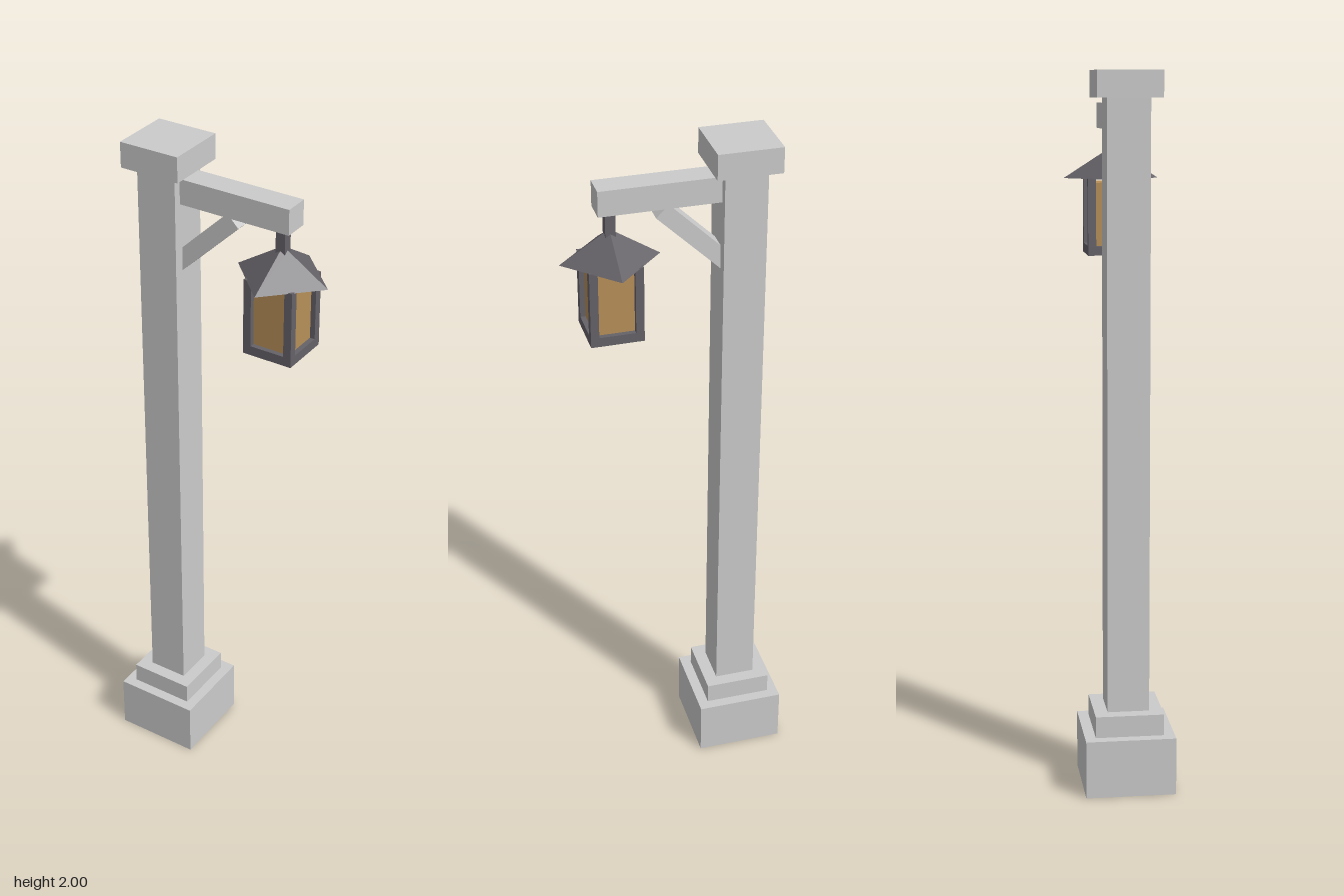
import * as THREE from 'three';

export function createModel() {
  const model = new THREE.Group();
  model.name = 'streetLantern';
  const stone = new THREE.MeshStandardMaterial({ color: 0xcccccc, flatShading: true });
  const iron = new THREE.MeshStandardMaterial({ color: 0x656268, flatShading: true });
  const amber = new THREE.MeshStandardMaterial({ color: 0xb78f58, flatShading: true });

  function add(name, geometry, material, x, y, z = 0, parent = model) {
    const mesh = new THREE.Mesh(geometry, material);
    mesh.name = name;
    mesh.position.set(x, y, z);
    parent.add(mesh);
    return mesh;
  }
  // Square block standing between two heights
  function block(name, width, y0, y1, material, x, z = 0, parent = model) {
    return add(name, new THREE.BoxGeometry(width, y1 - y0, width), material, x, (y0 + y1) / 2, z, parent);
  }

  // Pillar: plinth, step, shaft and cap
  const px = -0.184;
  block('plinth', 0.254, 0, 0.165, stone, px);
  block('plinthStep', 0.193, 0.165, 0.226, stone, px);
  block('post', 0.118, 0.226, 1.928, stone, px);
  block('postCap', 0.178, 1.928, 2, stone, px);

  // Arm reaching out from the post, with a diagonal brace below it
  add('arm', new THREE.BoxGeometry(0.335, 0.072, 0.072), stone, 0.04, 1.876);
  const brace = new THREE.Shape([
    [-0.13, 1.638], [0.051, 1.813], [0.017, 1.848], [-0.13, 1.706],
  ].map(([x, y]) => new THREE.Vector2(x, y)));
  const braceGeometry = new THREE.ExtrudeGeometry(brace, { depth: 0.056, bevelEnabled: false });
  add('brace', braceGeometry, stone, 0, 0, -0.028);

  // Hanging lantern
  const lantern = new THREE.Group();
  lantern.name = 'lantern';
  lantern.position.x = 0.17;
  model.add(lantern);
  block('hanger', 0.028, 1.765, 1.842, iron, 0, 0, lantern);
  // Four-sided roof turned with its corners on the axes
  add('roof', new THREE.CylinderGeometry(0.015, 0.137, 0.078, 4), iron, 0, 1.737, 0, lantern);
  block('lanternFloor', 0.147, 1.48, 1.507, iron, 0, 0, lantern);
  block('glass', 0.118, 1.507, 1.687, amber, 0, 0, lantern);
  for (const sx of [-1, 1])
    for (const sz of [-1, 1])
      block('cornerPost', 0.023, 1.507, 1.7, iron, sx * 0.062, sz * 0.062, lantern);

  return model;
}
